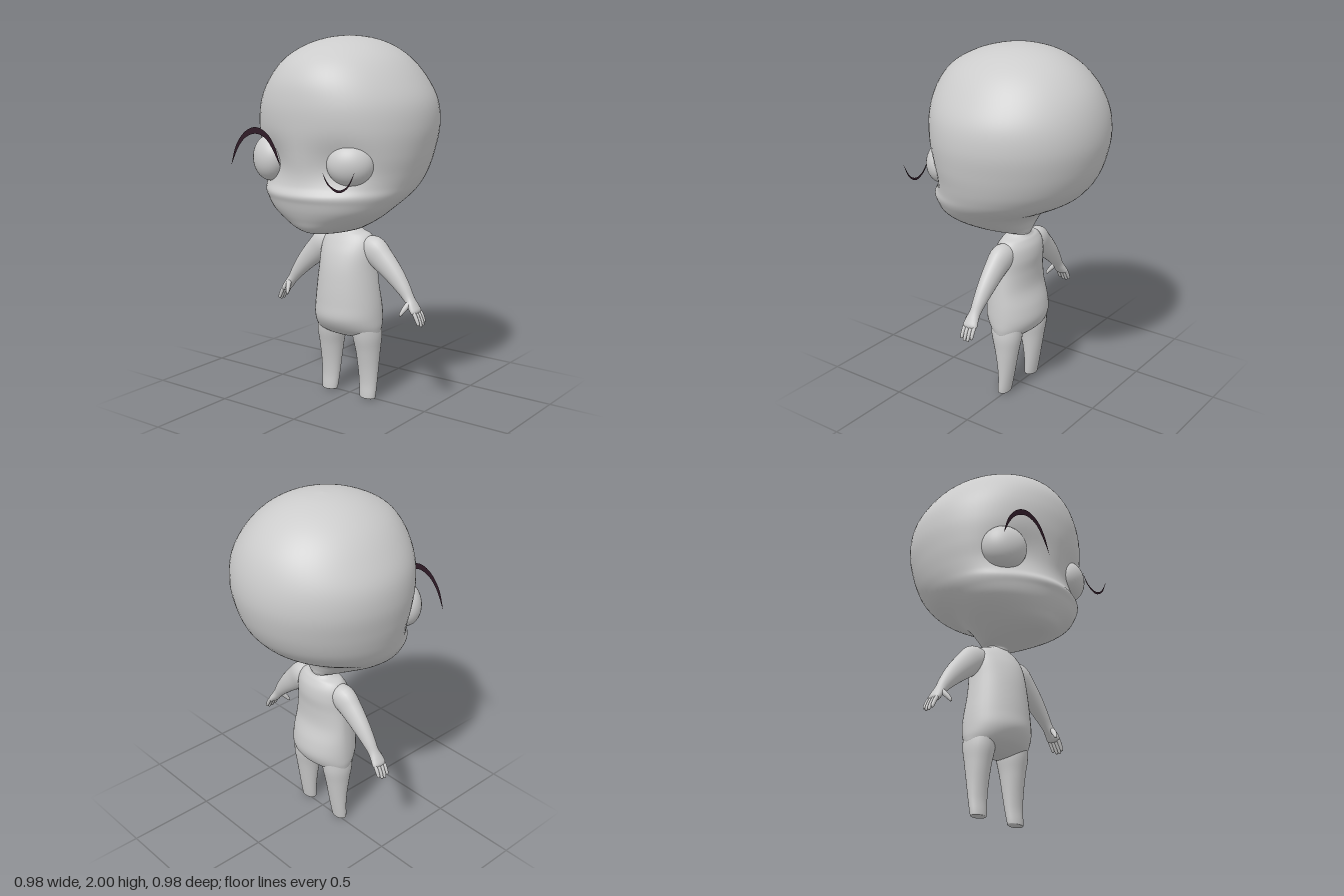
import * as THREE from 'three';

const skin = new THREE.MeshStandardMaterial({ color: 0xcccccc });
skin.name = 'plain grey';
const lash = new THREE.MeshStandardMaterial({ color: 0x2e1a26, side: THREE.DoubleSide });
lash.name = 'dark plum';

// Uniform Catmull-Rom value between b and c
function blend(a, b, c, d, t) {
  const cubic = 3 * (b - c) + d - a;
  const square = 2 * a - 5 * b + 4 * c - d;
  return b + 0.5 * t * (c - a + t * (square + t * cubic));
}

// Smoothly resample every column of a table of rows
function smooth(rows, steps) {
  const out = [];
  const last = rows.length - 1;
  for (let i = 0; i < last; i++) {
    const a = rows[Math.max(i - 1, 0)], b = rows[i], c = rows[i + 1], d = rows[Math.min(i + 2, last)];
    for (let k = 0; k < steps; k++) {
      out.push(b.map((p, n) => blend(a[n], p, c[n], d[n], k / steps)));
    }
  }
  out.push(rows[last]);
  return out;
}

// Skin a list of closed rings; side = -1 mirrors across x
function skinRings(rings, side = 1) {
  const n = rings[0].length, pos = [], idx = [];
  rings.forEach(r => r.forEach(p => pos.push(p.x * side, p.y, p.z)));
  for (let j = 0; j < rings.length - 1; j++) {
    for (let i = 0; i < n; i++) {
      const a = j * n + i, b = j * n + (i + 1) % n, c = a + n, d = b + n;
      if (side > 0) idx.push(a, c, b, b, c, d);
      else idx.push(a, b, c, b, d, c);
    }
  }
  const g = new THREE.BufferGeometry();
  g.setAttribute('position', new THREE.Float32BufferAttribute(pos, 3));
  g.setIndex(idx);
  g.computeVertexNormals();
  return g;
}

// Upright body from rows [y, halfWidth, zFront, zBack, zWidest], bottom to top
function upright(rows, seg, warp = p => p) {
  const rings = smooth(rows, 6).map(([y, w, zf, zb, zc]) =>
    Array.from({ length: seg }, (_, i) => {
      const t = i / seg * Math.PI * 2, s = Math.sin(t);
      const z = zc + s * (s > 0 ? zf - zc : zc - zb);
      return warp(new THREE.Vector3(Math.max(w, 0) * Math.cos(t), y, z));
    }));
  return skinRings(rings);
}

// Limb along a path from rows [x, y, z, radiusInPlane, radiusZ]
function limb(rows, side, seg = 20) {
  const r = smooth(rows, 5);
  const at = i => new THREE.Vector3(...r[Math.min(Math.max(i, 0), r.length - 1)].slice(0, 3));
  const rings = r.map((row, j) => {
    const d = at(j + 1).sub(at(j - 1)).normalize();
    const u = d.clone().cross(new THREE.Vector3(0, 0, 1)).normalize();
    const w = u.clone().cross(d);
    return Array.from({ length: seg }, (_, i) => {
      const t = i / seg * Math.PI * 2;
      return at(j).addScaledVector(u, Math.max(row[3], 0) * Math.cos(t))
        .addScaledVector(w, Math.max(row[4], 0) * Math.sin(t));
    });
  });
  return skinRings(rings, side);
}

// Flat tapering crescent between an outer and an inner curve
function crescent(outer, inner) {
  const pts = list => new THREE.SplineCurve(list.map(p => new THREE.Vector2(...p))).getPoints(32);
  const back = pts([outer[0], ...inner, outer[outer.length - 1]]).reverse().slice(1, -1);
  return new THREE.ShapeGeometry(new THREE.Shape([...pts(outer), ...back]));
}

export function createModel() {
  const model = new THREE.Group();
  model.name = 'bigHeadedFigure';
  const add = (name, geometry, material = skin) => {
    const m = new THREE.Mesh(geometry, material);
    m.name = name;
    model.add(m);
    return m;
  };

  // Head and neck, with shallow eye sockets
  const socket = p => {
    if (p.z > 0) {
      const dx = (Math.abs(p.x) - 0.22) / 0.13, dy = (p.y - 1.35) / 0.11;
      p.z -= 0.035 * Math.exp(-dx * dx - dy * dy);
    }
    return p;
  };
  add('head', upright([
    [0.90, 0.075, 0.07, -0.07, 0],
    [0.945, 0.066, 0.07, -0.06, 0],
    [0.964, 0.07, 0.10, -0.062, 0.01],
    [0.972, 0.11, 0.31, -0.066, 0.08],
    [1.0, 0.18, 0.385, -0.073, 0.14],
    [1.05, 0.27, 0.42, -0.095, 0.15],
    [1.1, 0.335, 0.445, -0.15, 0.15],
    [1.15, 0.38, 0.462, -0.25, 0.12],
    [1.19, 0.408, 0.474, -0.32, 0.09],
    [1.235, 0.428, 0.45, -0.37, 0.06],
    [1.3, 0.45, 0.443, -0.42, 0.04],
    [1.4, 0.475, 0.455, -0.463, 0.03],
    [1.53, 0.492, 0.472, -0.488, 0.01],
    [1.66, 0.475, 0.474, -0.475, 0],
    [1.78, 0.41, 0.447, -0.427, 0],
    [1.88, 0.325, 0.375, -0.343, 0],
    [1.95, 0.222, 0.25, -0.237, 0],
    [1.988, 0.11, 0.12, -0.12, 0],
    [2.0, 0, 0, 0, 0],
  ], 64, socket));

  // Torso: round belly, hollow back, seat
  add('torso', upright([
    [0.345, 0, 0, 0, 0],
    [0.352, 0.10, 0.05, -0.05, 0],
    [0.375, 0.185, 0.10, -0.085, 0],
    [0.41, 0.202, 0.145, -0.12, 0],
    [0.47, 0.203, 0.178, -0.142, 0],
    [0.55, 0.198, 0.177, -0.133, 0],
    [0.65, 0.187, 0.17, -0.103, 0],
    [0.75, 0.176, 0.157, -0.1, 0],
    [0.83, 0.172, 0.135, -0.107, 0],
    [0.89, 0.162, 0.106, -0.1, 0],
    [0.93, 0.135, 0.08, -0.08, 0],
    [0.947, 0.09, 0.068, -0.066, 0],
    [0.965, 0.062, 0.06, -0.056, 0],
  ], 40));

  for (const [label, s] of [['left', 1], ['right', -1]]) {
    // Leg tapering to a blunt end
    add(label + 'Leg', limb([
      [0.115, 0.47, 0.005, 0.07, 0.10],
      [0.122, 0.37, 0.002, 0.078, 0.092],
      [0.126, 0.28, 0, 0.069, 0.072],
      [0.128, 0.18, 0, 0.061, 0.053],
      [0.13, 0.09, 0.004, 0.055, 0.04],
      [0.132, 0.02, 0.012, 0.05, 0.034],
      [0.132, 0.004, 0.013, 0.042, 0.029],
      [0.132, 0, 0.013, 0, 0],
    ], s, 28));

    // Arm down to the palm
    add(label + 'Arm', limb([
      [0.09, 0.875, 0, 0.04, 0.05],
      [0.16, 0.855, 0.004, 0.078, 0.062],
      [0.225, 0.805, 0.006, 0.07, 0.055],
      [0.30, 0.735, 0.006, 0.056, 0.046],
      [0.36, 0.668, 0.007, 0.041, 0.037],
      [0.40, 0.615, 0.009, 0.029, 0.031],
      [0.428, 0.578, 0.011, 0.024, 0.04],
      [0.448, 0.55, 0.01, 0.019, 0.042],
      [0.456, 0.538, 0.009, 0, 0.01],
    ], s, 24));

    // Fingers and thumb
    for (let f = 0; f < 4; f++) {
      const z = 0.041 - f * 0.021, len = [0.052, 0.062, 0.06, 0.046][f];
      add(label + 'Finger' + (f + 1), limb([
        [0.443, 0.56, z, 0.009, 0.009],
        [0.458, 0.538, z, 0.011, 0.0105],
        [0.458 + len * 0.3, 0.538 - len * 0.6, z, 0.01, 0.0095],
        [0.458 + len * 0.42, 0.538 - len * 0.93, z, 0.007, 0.007],
        [0.458 + len * 0.44, 0.538 - len, z, 0, 0],
      ], s, 10));
    }
    add(label + 'Thumb', limb([
      [0.415, 0.605, 0.025, 0.014, 0.012],
      [0.405, 0.578, 0.05, 0.015, 0.014],
      [0.394, 0.552, 0.07, 0.011, 0.011],
      [0.389, 0.537, 0.078, 0.007, 0.007],
      [0.388, 0.533, 0.079, 0, 0],
    ], s, 10));

    // Flattened eyeball turned outward
    const eye = add(label + 'Eye', new THREE.SphereGeometry(1, 36, 24));
    eye.scale.set(0.122, s > 0 ? 0.11 : 0.122, 0.09);
    eye.rotation.y = s * 0.55;
    eye.position.set(s > 0 ? 0.247 : -0.272, 1.358, s > 0 ? 0.33 : 0.342);
  }

  // Eyelash lines floating before the face: open eye and winking eye
  add('rightLash', crescent(
    [[-0.422, 1.32], [-0.385, 1.43], [-0.32, 1.505], [-0.245, 1.532], [-0.17, 1.505], [-0.115, 1.435], [-0.08, 1.335]],
    [[-0.37, 1.418], [-0.315, 1.475], [-0.245, 1.498], [-0.18, 1.477], [-0.13, 1.42]],
  ), lash).position.z = 0.487;
  add('leftLash', crescent(
    [[0.19, 1.33], [0.222, 1.272], [0.288, 1.238], [0.35, 1.272], [0.388, 1.35]],
    [[0.232, 1.275], [0.288, 1.252], [0.342, 1.276]],
  ), lash).position.z = 0.487;

  return model;
}
